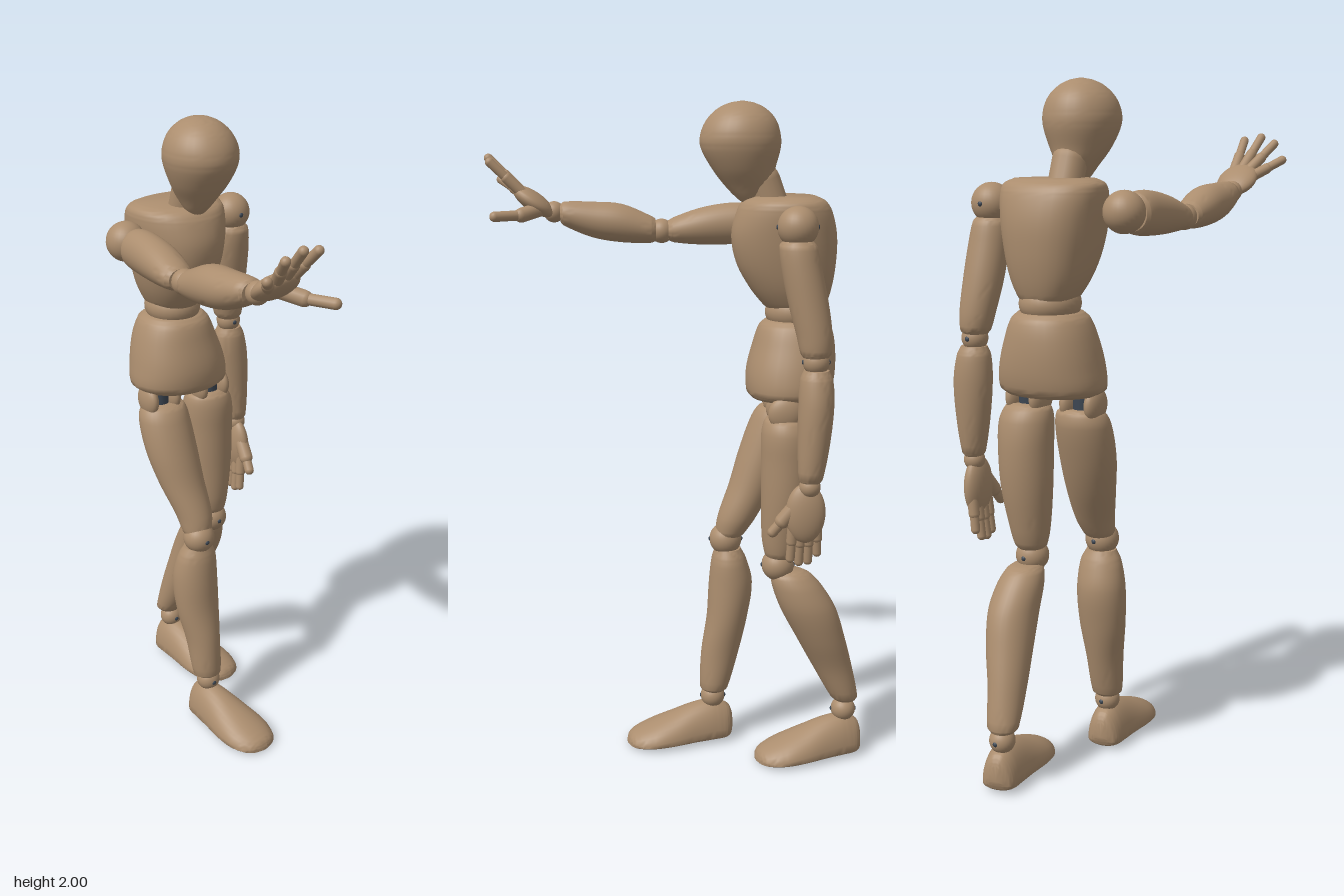
import * as THREE from 'three';
import { toCreasedNormals } from 'three/addons/utils/BufferGeometryUtils.js';

const wood = new THREE.MeshStandardMaterial({ color: 0xab8d6e });
wood.name = 'wood';
const darkMetal = new THREE.MeshStandardMaterial({ color: 0x3c4652 });
darkMetal.name = 'dark metal';

// Smooth the hand-set sections between their stations (cubic, first column linear).
function smooth(rows, steps = 5) {
  const out = [];
  const slope = (i, k) => {
    const a = rows[Math.max(i - 1, 0)], b = rows[Math.min(i + 1, rows.length - 1)];
    return (b[k] - a[k]) / (b[0] - a[0]);
  };
  for (let i = 0; i < rows.length - 1; i++) {
    const p = rows[i], q = rows[i + 1], h = q[0] - p[0];
    for (let j = 0; j < steps; j++) {
      const t = j / steps, t2 = t * t, t3 = t2 * t;
      out.push(p.map((v, k) => k === 0 ? v + h * t
        : v * (2 * t3 - 3 * t2 + 1) + q[k] * (3 * t2 - 2 * t3)
          + h * (slope(i, k) * (t3 - 2 * t2 + t) + slope(i + 1, k) * (t3 - t2))));
    }
  }
  out.push(rows[rows.length - 1]);
  return out;
}

// Rounded sections stacked along y (or z): [station, centre x, other centre, radius x, other radius].
// low flattens the underside, taper narrows the front, power below 1 squares the corners.
function loft(name, rows, { axis = 'y', low = 1, taper = 0, power = 1 } = {}) {
  const n = 32, pos = [], idx = [], rings = smooth(rows);
  const put = (s, x, v) => (axis === 'y' ? pos.push(x, s, v) : pos.push(x, v, s));
  const tri = (a, b, c) => (axis === 'y' ? idx.push(a, b, c) : idx.push(a, c, b));
  const round = (v) => Math.sign(v) * Math.abs(v) ** power;
  for (const [s, cx, cv, rx, rv] of rings) {
    for (let j = 0; j < n; j++) {
      const a = (j / n) * Math.PI * 2, sn = round(Math.sin(a));
      put(s, cx + rx * round(Math.cos(a)) * (1 - taper * sn), cv + rv * (sn < 0 ? low * sn : sn));
    }
  }
  const last = rings.length - 1, c0 = rings.length * n;
  for (const r of [rings[0], rings[last]]) put(r[0], r[1], r[2]);
  for (let j = 0; j < n; j++) {
    const k = (j + 1) % n;
    for (let i = 0; i < last; i++) {
      const a = i * n + j, b = i * n + k;
      tri(a, a + n, b);
      tri(b, a + n, b + n);
    }
    tri(c0, j, k);
    tri(c0 + 1, last * n + k, last * n + j);
  }
  const g = new THREE.BufferGeometry();
  g.setAttribute('position', new THREE.Float32BufferAttribute(pos, 3));
  g.setIndex(idx);
  const mesh = new THREE.Mesh(toCreasedNormals(g, 0.8), wood);
  mesh.name = name;
  return mesh;
}

function ball(name, p, r, scale = [1, 1, 1]) {
  const m = new THREE.Mesh(new THREE.SphereGeometry(r, 28, 20), wood);
  m.position.set(...p);
  m.scale.set(...scale);
  m.name = name;
  return m;
}

// Rounded rod between two points.
function rod(name, a, b, r, mat = wood) {
  const A = new THREE.Vector3(...a), B = new THREE.Vector3(...b), d = B.clone().sub(A);
  const m = new THREE.Mesh(new THREE.CapsuleGeometry(r, d.length(), 6, 16), mat);
  m.position.copy(A).add(B).multiplyScalar(0.5);
  m.quaternion.setFromUnitVectors(new THREE.Vector3(0, 1, 0), d.normalize());
  m.name = name;
  return m;
}

// Ball joint with a small metal pin showing at front and back.
function joint(name, [x, y, z], r) {
  const g = new THREE.Group(), reach = r - 0.006;
  g.name = name;
  g.add(ball('ball', [x, y, z], r), rod('pin', [x, y, z - reach], [x, y, z + reach], 0.009, darkMetal));
  return g;
}

// Each finger is a two-joint chain: base, tip.
function hand(name, palm, fingers, thumb) {
  const g = new THREE.Group();
  g.name = name;
  g.add(palm);
  fingers.forEach(([a, b]) => {
    const mid = a.map((v, i) => v * 0.5 + b[i] * 0.5);
    g.add(rod('fingerBase', a, mid, 0.0165), rod('fingerTip', mid, b, 0.0135));
  });
  g.add(rod('thumbBase', thumb[0], thumb[1], 0.022), rod('thumbTip', thumb[1], thumb[2], 0.0155));
  return g;
}

function foot(name, x, z, yaw) {
  const f = loft(name, [
    [-0.06, 0, 0.045, 0.02, 0.045], [-0.052, 0, 0.033, 0.038, 0.077], [-0.035, 0, 0.028, 0.05, 0.095],
    [0, 0, 0.028, 0.058, 0.107], [0.06, 0, 0.026, 0.068, 0.1], [0.14, 0, 0.021, 0.082, 0.075],
    [0.2, 0, 0.017, 0.083, 0.055], [0.25, 0, 0.013, 0.064, 0.036], [0.27, 0, 0.011, 0.04, 0.023],
    [0.278, 0, 0.01, 0.012, 0.008],
  ], { axis: 'z', low: 0.2 });
  f.position.set(x, 0, z);
  f.rotation.y = yaw;
  return f;
}

export function createModel() {
  const model = new THREE.Group();
  model.name = 'artistMannequin';

  // Head, neck and trunk
  model.add(loft('head', [
    [1.708, 0, -0.215, 0.008, 0.008], [1.72, 0, -0.213, 0.026, 0.03], [1.76, 0, -0.21, 0.052, 0.068],
    [1.81, 0, -0.195, 0.083, 0.092], [1.87, 0, -0.186, 0.106, 0.116], [1.91, 0, -0.185, 0.107, 0.115],
    [1.95, 0, -0.187, 0.091, 0.098], [1.98, 0, -0.188, 0.061, 0.067], [1.995, 0, -0.189, 0.03, 0.033],
    [2, 0, -0.19, 0.004, 0.004],
  ]));
  model.add(rod('neck', [0, 1.69, -0.283], [0, 1.775, -0.252], 0.05));
  model.add(loft('chest', [
    [1.4, 0, -0.355, 0.065, 0.075], [1.415, 0, -0.35, 0.08, 0.092], [1.47, 0, -0.336, 0.106, 0.122],
    [1.54, 0, -0.322, 0.124, 0.146], [1.62, 0, -0.315, 0.138, 0.154], [1.69, 0, -0.315, 0.146, 0.138],
    [1.72, 0, -0.315, 0.139, 0.118], [1.732, 0, -0.315, 0.115, 0.092],
  ], { taper: 0.12, power: 0.88 }));
  model.add(ball('waist', [0, 1.395, -0.355], 0.085, [1, 0.75, 1.08]));
  model.add(loft('pelvis', [
    [1.143, 0.005, -0.335, 0.135, 0.112], [1.158, 0.005, -0.336, 0.155, 0.125],
    [1.22, 0.004, -0.341, 0.151, 0.132], [1.3, 0, -0.35, 0.13, 0.122],
    [1.355, 0, -0.353, 0.108, 0.106], [1.372, 0, -0.353, 0.09, 0.088],
  ], { power: 0.93 }));

  // Hips: a metal pin held between two wooden cheeks
  for (const x of [-0.08, 0.103]) {
    for (const s of [-1, 1]) model.add(ball('hipCheek', [x + s * 0.04, 1.115, -0.315], 0.05, [0.48, 1, 1]));
    model.add(rod('hipPin', [x, 1.08, -0.315], [x, 1.16, -0.315], 0.03, darkMetal));
  }

  // Right leg, stepping forward
  model.add(loft('rightThigh', [
    [0.685, -0.042, -0.165, 0.038, 0.036], [0.695, -0.041, -0.168, 0.046, 0.045],
    [0.75, -0.04, -0.19, 0.058, 0.06], [0.85, -0.055, -0.235, 0.073, 0.07],
    [0.95, -0.067, -0.27, 0.083, 0.076], [1.05, -0.072, -0.302, 0.082, 0.073],
    [1.09, -0.07, -0.312, 0.07, 0.06], [1.1, -0.07, -0.315, 0.05, 0.045],
  ]));
  model.add(joint('rightKnee', [-0.043, 0.675, -0.155], 0.05));
  model.add(loft('rightShin', [
    [0.17, -0.04, -0.122, 0.035, 0.034], [0.18, -0.04, -0.122, 0.046, 0.044],
    [0.3, -0.043, -0.14, 0.055, 0.059], [0.42, -0.048, -0.162, 0.071, 0.064],
    [0.53, -0.05, -0.172, 0.074, 0.068], [0.61, -0.046, -0.166, 0.063, 0.054],
    [0.645, -0.045, -0.162, 0.045, 0.04],
  ]));
  model.add(joint('rightAnkle', [-0.038, 0.15, -0.118], 0.038));
  model.add(foot('rightFoot', -0.04, -0.12, 0.16));

  // Left leg, trailing behind
  model.add(loft('leftThigh', [
    [0.665, 0.105, -0.31, 0.038, 0.038], [0.675, 0.105, -0.311, 0.048, 0.046],
    [0.73, 0.105, -0.315, 0.06, 0.06], [0.85, 0.107, -0.325, 0.076, 0.074],
    [0.97, 0.107, -0.328, 0.081, 0.079], [1.05, 0.106, -0.324, 0.081, 0.075],
    [1.09, 0.102, -0.32, 0.068, 0.06], [1.1, 0.1, -0.32, 0.05, 0.045],
  ]));
  model.add(joint('leftKnee', [0.105, 0.64, -0.305], 0.049));
  model.add(loft('leftShin', [
    [0.182, 0.065, -0.527, 0.036, 0.034], [0.195, 0.066, -0.523, 0.047, 0.043],
    [0.3, 0.077, -0.482, 0.055, 0.061], [0.4, 0.095, -0.442, 0.066, 0.074],
    [0.5, 0.108, -0.4, 0.071, 0.084], [0.57, 0.107, -0.366, 0.066, 0.076],
    [0.61, 0.105, -0.345, 0.052, 0.06], [0.622, 0.105, -0.34, 0.038, 0.042],
  ]));
  model.add(joint('leftAnkle', [0.07, 0.15, -0.522], 0.038));
  const leftFoot = foot('leftFoot', 0.073, -0.516, 0.23);
  // Dark plate under the forefoot
  const plate = new THREE.Mesh(new THREE.CylinderGeometry(1, 1, 0.005, 24), darkMetal);
  plate.name = 'solePlate';
  plate.scale.set(0.04, 1, 0.06);
  plate.position.set(0, 0.005, 0.17);
  leftFoot.add(plate);
  model.add(leftFoot);

  // Right arm, reaching forward
  model.add(ball('rightShoulder', [-0.195, 1.645, -0.287], 0.059));
  model.add(loft('rightUpperArm', [
    [-0.24, -0.194, 1.638, 0.045, 0.048], [-0.228, -0.194, 1.638, 0.053, 0.058],
    [-0.17, -0.194, 1.636, 0.057, 0.063], [-0.08, -0.197, 1.628, 0.058, 0.056],
    [0, -0.203, 1.617, 0.049, 0.039], [0.02, -0.204, 1.615, 0.038, 0.03],
  ], { axis: 'z' }));
  model.add(ball('rightElbow', [-0.204, 1.613, 0.04], 0.037));
  model.add(loft('rightForearm', [
    [0.058, -0.203, 1.616, 0.038, 0.034], [0.072, -0.202, 1.618, 0.046, 0.041],
    [0.16, -0.2, 1.637, 0.059, 0.058], [0.25, -0.199, 1.648, 0.055, 0.054],
    [0.335, -0.195, 1.666, 0.042, 0.037], [0.347, -0.195, 1.668, 0.033, 0.028],
  ], { axis: 'z' }));
  model.add(ball('rightWrist', [-0.194, 1.672, 0.367], 0.032));
  const rightPalm = ball('palm', [-0.183, 1.704, 0.428], 1, [0.063, 0.072, 0.029]);
  rightPalm.rotation.x = 0.96;
  model.add(hand('rightHand', rightPalm, [
    [[-0.22, 1.713, 0.448], [-0.286, 1.764, 0.535]],
    [[-0.203, 1.728, 0.46], [-0.248, 1.813, 0.556]],
    [[-0.182, 1.733, 0.462], [-0.2, 1.832, 0.562]],
    [[-0.158, 1.728, 0.456], [-0.146, 1.822, 0.553]],
  ], [[-0.16, 1.685, 0.4], [-0.115, 1.668, 0.46], [-0.073, 1.667, 0.535]]));

  // Left arm, hanging
  model.add(joint('leftShoulder', [0.206, 1.66, -0.334], 0.058));
  model.add(loft('leftUpperArm', [
    [1.298, 0.232, -0.389, 0.036, 0.036], [1.31, 0.231, -0.389, 0.044, 0.044],
    [1.36, 0.226, -0.384, 0.052, 0.051], [1.45, 0.217, -0.366, 0.058, 0.057],
    [1.55, 0.211, -0.345, 0.058, 0.057], [1.61, 0.208, -0.335, 0.052, 0.052],
    [1.622, 0.207, -0.334, 0.042, 0.042],
  ]));
  model.add(joint('leftElbow', [0.234, 1.285, -0.39], 0.038));
  model.add(loft('leftForearm', [
    [0.938, 0.254, -0.379, 0.026, 0.028], [0.95, 0.254, -0.38, 0.034, 0.035],
    [1.05, 0.248, -0.387, 0.05, 0.046], [1.16, 0.242, -0.392, 0.058, 0.051],
    [1.235, 0.237, -0.392, 0.05, 0.047], [1.262, 0.236, -0.391, 0.038, 0.036],
  ]));
  model.add(ball('leftWrist', [0.254, 0.925, -0.378], 0.031));
  const leftPalm = ball('palm', [0.25, 0.845, -0.368], 1, [0.03, 0.09, 0.058]);
  model.add(hand('leftHand', leftPalm, [
    [[0.246, 0.81, -0.334], [0.236, 0.704, -0.328]],
    [[0.247, 0.81, -0.357], [0.234, 0.693, -0.353]],
    [[0.247, 0.81, -0.38], [0.234, 0.697, -0.379]],
    [[0.246, 0.815, -0.401], [0.236, 0.722, -0.405]],
  ], [[0.25, 0.875, -0.345], [0.244, 0.82, -0.302], [0.238, 0.785, -0.275]]));

  return model;
}
